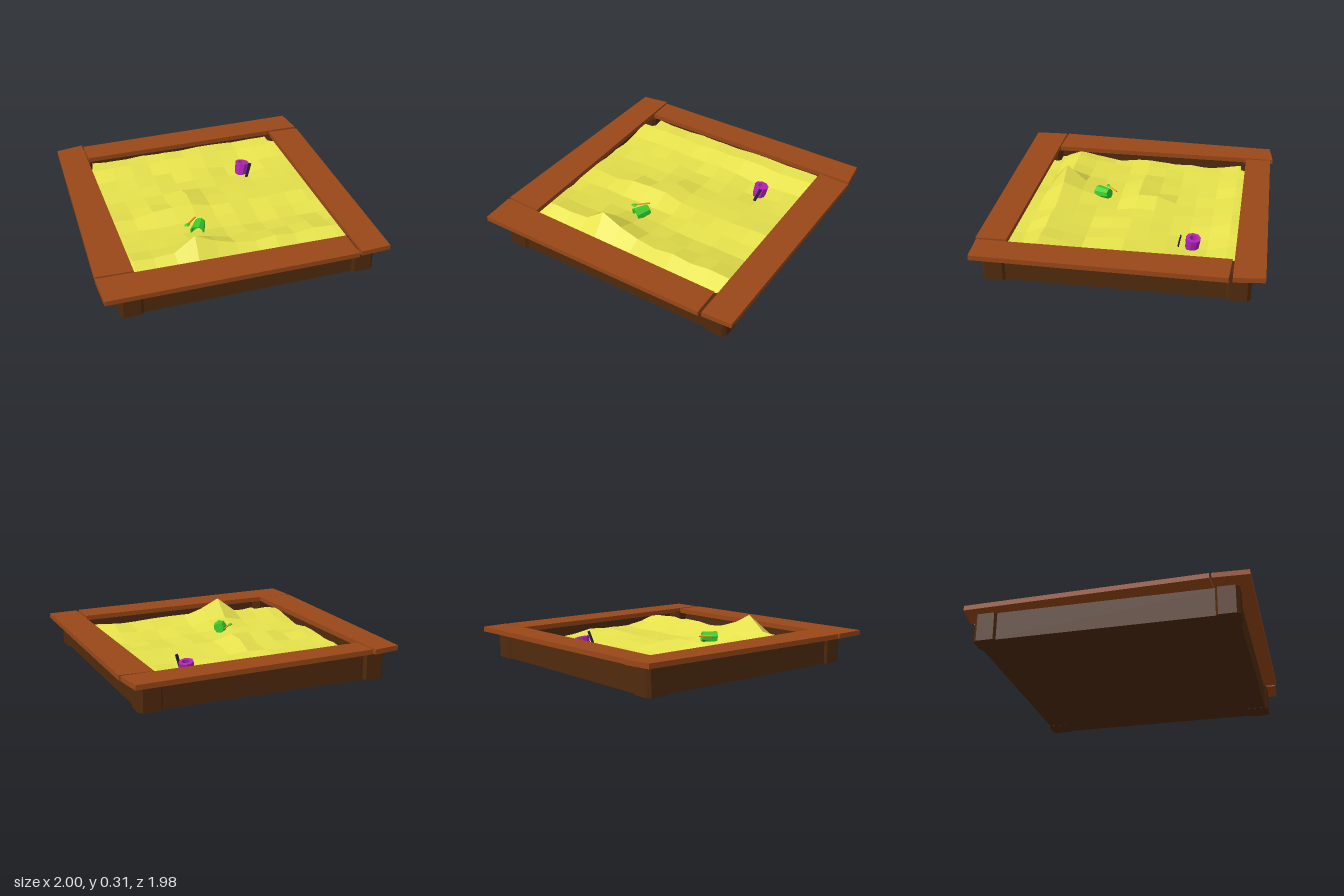
import * as THREE from 'three';

const mat = (color, flatShading = true) => new THREE.MeshStandardMaterial({ color, flatShading, side: THREE.DoubleSide });
const darkWood = mat(0x502b0d), plankWood = mat(0x994818), sandMat = mat(0xe6e24c, false);
const purple = mat(0xb424bc), green = mat(0x3cce2c), orange = mat(0xe8a020), black = mat(0x22203a);

function add(parent, name, geometry, material) {
  const mesh = new THREE.Mesh(geometry, material);
  mesh.name = name;
  parent.add(mesh);
  return mesh;
}

// Upright prism over an [x, z] outline, standing on y = 0
function prism(points, height) {
  const shape = new THREE.Shape(points.map(([x, z]) => new THREE.Vector2(x, -z)));
  return new THREE.ExtrudeGeometry(shape, { depth: height, bevelEnabled: false }).rotateX(-Math.PI / 2);
}

// Rim board: uneven outline, slightly sloping along x
function plank(points, y, slope) {
  const g = prism(points, 0.035);
  const p = g.attributes.position;
  for (let i = 0; i < p.count; i++) p.setY(i, p.getY(i) + y + slope * p.getX(i));
  g.computeVertexNormals();
  return g;
}

// Low-poly sand height field: hollow towards the back, a ridge and a pointed heap near the front
function sandGeometry() {
  const n = 12;
  const grid = new THREE.PlaneGeometry(1.745, 1.715, n, n).rotateX(-Math.PI / 2);
  grid.translate(0.0175, 0, -0.0025);
  let seed = 7;
  const rand = () => (seed = (seed * 16807) % 2147483647) / 2147483647;
  const rows = [0.14, 0.14, 0.105, 0.1, 0.105, 0.115, 0.13, 0.12, 0.12, 0.145, 0.18, 0.12, 0.12];
  const bumps = {
    '4,10': 0.305, '5,10': 0.235, '3,10': 0.195, '4,9': 0.18, '5,9': 0.175,
    '5,5': 0.17, '5,6': 0.17, '4,6': 0.17, '3,6': 0.16, '4,7': 0.115, '3,7': 0.11,
    '8,2': 0.08, '9,2': 0.085, '8,3': 0.075, '9,3': 0.075,
  };
  const p = grid.attributes.position;
  for (let j = 0; j <= n; j++) {
    for (let i = 0; i <= n; i++) p.setY(j * (n + 1) + i, bumps[`${i},${j}`] ?? rows[j] + 0.024 * (rand() - 0.5));
  }
  // One shared normal for each four-sided cell
  const g = grid.toNonIndexed();
  g.computeVertexNormals();
  const normals = g.attributes.normal, sum = new THREE.Vector3(), v = new THREE.Vector3();
  for (let q = 0; q < normals.count; q += 6) {
    sum.set(0, 0, 0);
    for (let k = 0; k < 6; k++) sum.add(v.fromBufferAttribute(normals, q + k));
    sum.normalize();
    for (let k = 0; k < 6; k++) normals.setXYZ(q + k, sum.x, sum.y, sum.z);
  }
  return g;
}

// Open toy pail with a thick wall, axis along y
function pailGeometry(bottom, top, h, wall, sides) {
  const profile = [[bottom - wall, -h / 2], [bottom, -h / 2], [top, h / 2], [top - wall, h / 2], [bottom - wall, -h / 2]];
  return new THREE.LatheGeometry(profile.map(([r, y]) => new THREE.Vector2(r, y)), sides);
}

// Place a y-aligned mesh so that it points from a to b
function aim(mesh, a, b) {
  const from = new THREE.Vector3(...a), to = new THREE.Vector3(...b);
  mesh.position.copy(from).lerp(to, 0.5);
  mesh.quaternion.setFromUnitVectors(new THREE.Vector3(0, 1, 0), to.sub(from).normalize());
}

export function createModel() {
  const model = new THREE.Group();
  model.name = 'sandbox';

  // Floor and side walls
  const frame = new THREE.Group();
  frame.name = 'frame';
  frame.position.x = 0.0175;
  model.add(frame);
  add(frame, 'floor', new THREE.BoxGeometry(1.75, 0.02, 1.75), darkWood).position.y = 0.011;
  for (const s of [-1, 1]) {
    add(frame, 'sideWall', new THREE.BoxGeometry(0.05, 0.2, 1.72), darkWood).position.set(s * 0.857, 0.101, 0);
    add(frame, 'endWall', new THREE.BoxGeometry(1.72, 0.2, 0.05), darkWood).position.set(0, 0.101, s * 0.857);
  }

  // Chamfered corner posts
  const a = 0.083, c = 0.06;
  const outline = [[a, -c], [a, c], [c, a], [-c, a], [-a, c], [-a, -c], [-c, -a], [c, -a]];
  for (const sx of [-1, 1]) for (const sz of [-1, 1]) {
    add(frame, 'cornerPost', prism(outline, 0.2), darkWood).position.set(sx * 0.815, 0, sz * 0.817);
  }

  // Uneven rim boards
  const rim = new THREE.Group();
  rim.name = 'rim';
  model.add(rim);
  add(rim, 'rightPlank', plank([[-0.95, -0.95], [-0.75, -0.98], [-0.74, 0.735], [-1, 0.725]], 0.202, 0), plankWood);
  add(rim, 'backPlank', plank([[-0.74, -0.96], [0.97, -0.99], [0.995, -0.78], [-0.735, -0.77]], 0.195, -0.006), plankWood);
  add(rim, 'leftPlank', plank([[0.765, -0.765], [1, -0.755], [0.995, 0.96], [0.78, 0.97]], 0.187, 0), plankWood);
  add(rim, 'frontPlank', plank([[-1, 0.74], [0.755, 0.765], [0.76, 0.98], [-0.99, 0.985]], 0.193, -0.008), plankWood);

  add(model, 'sand', sandGeometry(), sandMat);

  // Upright pail and a thin stick leaning beside it
  const pail = add(model, 'purplePail', pailGeometry(0.046, 0.053, 0.13, 0.025, 9), purple);
  aim(pail, [0.41, 0.035, -0.46], [0.43, 0.16, -0.475]);
  const stick = add(model, 'stick', new THREE.BoxGeometry(0.02, 0.14, 0.01), black);
  aim(stick, [0.42, 0.06, -0.365], [0.465, 0.19, -0.39]);

  // Half-buried pail lying on its side, with a small spade
  const lying = add(model, 'greenPail', pailGeometry(0.037, 0.052, 0.11, 0.008, 8), green);
  aim(lying, [-0.13, 0.16, 0.22], [-0.18, 0.145, 0.31]);
  const base = add(model, 'greenPailBase', new THREE.CylinderGeometry(0.036, 0.036, 0.006, 8), green);
  base.position.set(-0.13, 0.16, 0.22);
  base.quaternion.copy(lying.quaternion);
  const handle = add(model, 'spadeHandle', new THREE.CylinderGeometry(0.006, 0.006, 0.11, 6), orange);
  aim(handle, [-0.23, 0.172, 0.24], [-0.155, 0.172, 0.17]);
  const blade = add(model, 'spadeBlade', new THREE.SphereGeometry(1, 6, 4), green);
  blade.scale.set(0.026, 0.008, 0.016);
  blade.position.set(-0.235, 0.172, 0.246);
  blade.rotation.y = 0.5;

  return model;
}
